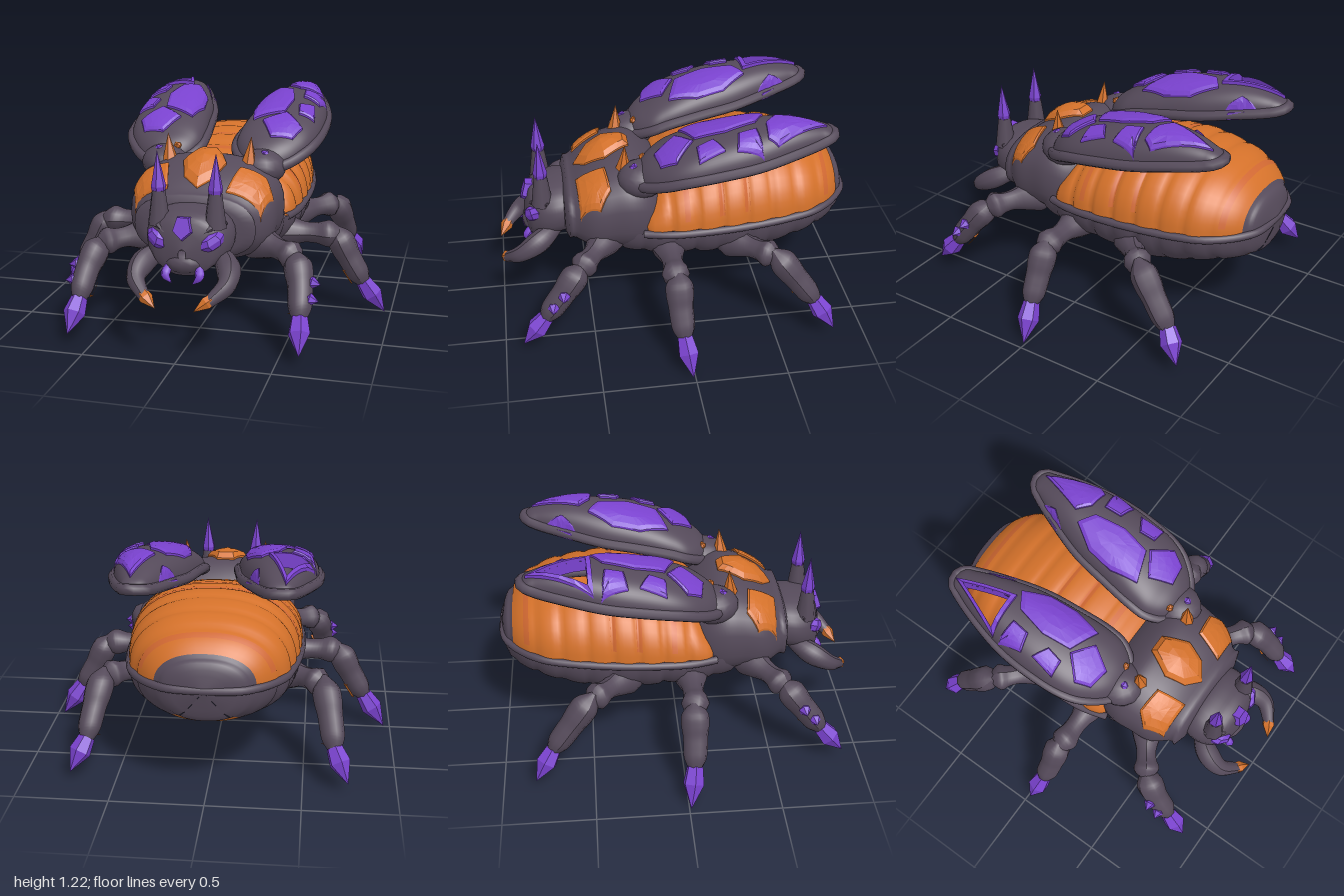
import * as THREE from 'three';
import { mergeVertices } from 'three/addons/utils/BufferGeometryUtils.js';

const mat = (name, color) => Object.assign(new THREE.MeshStandardMaterial({ color }), { name });
const DARK = mat('dark shell', 0x554a5a);
const ORANGE = mat('orange', 0xd4712a);
const RUST = mat('rust band', 0xcf6731);
const PURPLE = mat('purple', 0x7a42cf);
const V = (x, y, z) => new THREE.Vector3(x, y, z);
const UP = V(0, 1, 0);

function add(parent, name, geo, material) {
  const m = new THREE.Mesh(geo, material);
  m.name = name;
  parent.add(m);
  return m;
}

function flat(geo) {
  const g = geo.index ? geo.toNonIndexed() : geo;
  g.computeVertexNormals();
  return g;
}

// Smooth lookup in rows of [z, a, b, ...]
function table(rows) {
  rows = [...rows].sort((a, b) => a[0] - b[0]);
  const n = rows[0].length - 1;
  const f = new THREE.CubicInterpolant(rows.map(r => r[0]), rows.flatMap(r => r.slice(1)), n, new Float32Array(n));
  return z => Array.from(f.evaluate(z));
}

// Grid surface from fn(u, v) -> Vector3; cells can be left out
function surface(fn, nu, nv, skip = () => false) {
  const pos = [], idx = [];
  for (let i = 0; i <= nu; i++) for (let j = 0; j <= nv; j++) pos.push(...fn(i / nu, j / nv).toArray());
  for (let i = 0; i < nu; i++) for (let j = 0; j < nv; j++) {
    if (skip(fn((i + 0.5) / nu, (j + 0.5) / nv))) continue;
    const a = i * (nv + 1) + j, b = a + nv + 1;
    idx.push(a, b, a + 1, b, b + 1, a + 1);
  }
  let g = new THREE.BufferGeometry();
  g.setAttribute('position', new THREE.Float32BufferAttribute(pos, 3));
  g.setIndex(idx);
  g = mergeVertices(g, 1e-4);
  g.computeVertexNormals();
  return g;
}

const pw = (c, e) => Math.sign(c) * Math.abs(c) ** e;

// Body section as rows of [z, half width, top, bottom]
function bodyLoft(at, z0, z1, p, nu, nv) {
  return surface((u, v) => {
    const z = z0 + (z1 - z0) * u, [w, t, b] = at(z), a = v * Math.PI * 2;
    return V(w * pw(Math.cos(a), 2 / p), (t + b) / 2 + (t - b) / 2 * pw(Math.sin(a), 2 / p), z);
  }, nu, nv);
}

// Tapered limb along a path
function limb(points, radii, sides = 10, n = 24) {
  const c = new THREE.CatmullRomCurve3(points);
  c.getPointAt = c.getPoint;
  c.getTangentAt = c.getTangent;
  const rad = table(radii.map((r, i) => [i / (radii.length - 1), r]));
  const g = new THREE.TubeGeometry(c, n, 1, sides), P = g.attributes.position, q = V(0, 0, 0);
  for (let k = 0; k < P.count; k++) {
    const t = Math.floor(k / (sides + 1)) / n, o = c.getPoint(t);
    q.fromBufferAttribute(P, k).sub(o).multiplyScalar(rad(t)[0]).add(o);
    P.setXYZ(k, q.x, q.y, q.z);
  }
  g.computeVertexNormals();
  return g;
}

// Faceted spike or claw between two points
function spike(a, b, r, base = 0.6, belly = 0.35, sides = 6) {
  const len = a.distanceTo(b);
  const g = new THREE.LatheGeometry([[0, 0], [r * base, 0], [r, len * belly], [0, len]].map(p => new THREE.Vector2(...p)), sides);
  g.applyQuaternion(new THREE.Quaternion().setFromUnitVectors(UP, b.clone().sub(a).normalize()));
  g.translate(a.x, a.y, a.z);
  return flat(g);
}

// Raised plate over a height field, outline in [x, z]; rings are [scale, lift]
const raised = [[1, -0.02], [1, 0.012], [0.86, 0.02], [0.45, 0.02], [0, 0.02]];
const hanging = [[0, -0.008], [0.45, -0.008], [1, -0.008], [1, 0.01]];
function plate(outline, height, rings) {
  const o = outline.map(p => new THREE.Vector2(...p));
  if (THREE.ShapeUtils.area(o) < 0) o.reverse();
  const n = o.length, c = o.reduce((s, p) => s.add(p), new THREE.Vector2()).divideScalar(n);
  return flat(surface((u, v) => {
    const [s, h] = rings[Math.round(u * (rings.length - 1))];
    const k = v * n + 1e-6, i = Math.floor(k);
    const p = o[i % n].clone().lerp(o[(i + 1) % n], k - i).sub(c).multiplyScalar(s).add(c);
    return V(p.x, height(p.x, p.y) + h, p.y);
  }, rings.length - 1, n * 4));
}

// Abdomen: [z, half width, top, bottom]
const abd = table([[0.45, 0.3, 0.6, 0.4], [0.3, 0.38, 0.66, 0.345], [0.18, 0.425, 0.74, 0.33], [0.08, 0.455, 0.85, 0.322],
  [-0.05, 0.47, 0.91, 0.325], [-0.2, 0.475, 0.95, 0.31], [-0.42, 0.465, 0.98, 0.305], [-0.6, 0.44, 0.96, 0.345], [-0.75, 0.4, 0.92, 0.39],
  [-0.86, 0.325, 0.865, 0.42], [-0.92, 0.26, 0.81, 0.445], [-0.97, 0.16, 0.745, 0.5], [-0.995, 0, 0.64, 0.639]]);
const rimY = z => 0.58 + (0.2 - z) * 0.05;
function abdomenPart(z0, z1, a0, a1, k = 1, nu = 56) {
  return surface((u, v) => {
    const z = z0 + (z1 - z0) * u, [w, t, b] = abd(z), a = a0 + (a1 - a0) * v;
    const f = (((0.18 - z) / 0.139) % 1 + 1) % 1;
    const r = k * (1 - 0.045 * (1 - Math.sin(Math.PI * f ** 0.7)) ** 2);
    const s = pw(Math.sin(a), 0.87), y = rimY(z);
    return V(w * r * pw(Math.cos(a), 0.87), y + s * r * (s > 0 ? t - y : y - b), z);
  }, nu, 24);
}

// Thorax and its top height
const thx = table([[0.06, 0.3, 0.8, 0.42], [0.14, 0.38, 0.88, 0.4], [0.24, 0.415, 0.935, 0.38], [0.35, 0.41, 0.92, 0.39],
  [0.48, 0.39, 0.86, 0.4], [0.57, 0.32, 0.79, 0.44], [0.62, 0.27, 0.74, 0.47], [0.64, 0.02, 0.6, 0.56]]);
const thxY = (x, z) => {
  const [w, t, b] = thx(z);
  return (t + b) / 2 + (t - b) / 2 * Math.max(0, 1 - Math.abs(x / w) ** 2.5) ** 0.4;
};

// Wing case: [z, inner x, outer x, edge y, top y]
const wingRows = [[0.24, 0.28, 0.3, 0.87, 0.88], [0.2, 0.19, 0.39, 0.87, 0.95], [0.1, 0.11, 0.49, 0.92, 1.03], [0, 0.1, 0.535, 0.96, 1.085],
  [-0.2, 0.12, 0.555, 1, 1.15], [-0.4, 0.15, 0.545, 1.03, 1.185], [-0.6, 0.215, 0.5, 1.065, 1.195], [-0.76, 0.28, 0.445, 1.09, 1.165],
  [-0.82, 0.315, 0.415, 1.105, 1.14], [-0.84, 0.36, 0.37, 1.11, 1.12]];
const wing = table(wingRows);
const dome = k => Math.max(0, 1 - Math.abs(k) ** 2.4) ** (1 / 2.4);
const wingHeight = share => (x, z) => {
  const [xi, xo, e, t] = wing(z);
  return e + (t - e) * share * dome((2 * x - xi - xo) / (xo - xi));
};
const wingTop = wingHeight(1), wingUnder = wingHeight(0.65);
const windowOutline = [[0.39, -0.81], [0.29, -0.47], [0.53, -0.46]];
const hole = new THREE.Triangle(V(0.392, 0, -0.765), V(0.311, 0, -0.49), V(0.506, 0, -0.482));

function wingCase(open) {
  const g = new THREE.Group();
  g.name = 'wingCase';
  const skip = p => open && hole.containsPoint(V(p.x, 0, p.z));
  add(g, 'wingShell', surface((u, v) => {
    const z = 0.24 - 1.08 * u, [xi, xo, e, t] = wing(z), k = Math.cos(v * Math.PI * 2);
    return V((xi + xo) / 2 + k * (xo - xi) / 2, e + (t - e) * dome(k) * (v > 0.5 ? 0.65 : 1), z);
  }, 64, 72, skip), DARK);
  const edge = [...wingRows.map(r => V(r[2], r[3], r[0])), ...wingRows.slice(1, -1).reverse().map(r => V(r[1], r[3], r[0]))];
  add(g, 'wingRim', new THREE.TubeGeometry(new THREE.CatmullRomCurve3(edge, true), 70, 0.03, 8, true), DARK);
  const panels = [
    [[0.25, -0.47], [0.34, -0.41], [0.375, -0.24], [0.35, -0.08], [0.18, -0.02], [0.15, -0.18], [0.17, -0.34]],
    [[0.365, -0.07], [0.24, 0.01], [0.31, 0.13], [0.43, 0.11], [0.47, 0.03]],
    [[0.54, -0.42], [0.41, -0.4], [0.42, -0.3], [0.515, -0.28]],
    [[0.5, -0.22], [0.415, -0.17], [0.43, -0.08], [0.52, -0.08]]];
  if (!open) panels.push([[0.385, -0.79], [0.51, -0.5], [0.48, -0.45], [0.37, -0.46], [0.3, -0.52]]);
  // Panels show on both faces of the shell
  for (const p of panels) {
    add(g, 'wingPanel', plate(p, wingTop, raised), PURPLE);
    add(g, 'wingUnderPanel', plate(p, wingUnder, hanging), PURPLE);
  }
  add(g, 'wingInnerPanel', plate([[0.255, -0.75], [0.25, -0.62], [0.19, -0.54], [0.175, -0.57]], wingTop, raised), PURPLE);
  if (open) add(g, 'wingWindowFrame', plate(windowOutline, wingTop, [[1, -0.02], [1, 0.02], [0.78, 0.02], [0.78, -0.06], [1, -0.06]]), PURPLE);
  return g;
}

// One leg: thigh, thick shin, claw, and an orange patch under the shin at the given turn
function leg(name, thigh, shin, tip, turn) {
  const g = new THREE.Group(), S = shin.map(p => V(...p)), [, middle, ankle] = S;
  g.name = name;
  add(g, 'thigh', limb(thigh.map(p => V(...p)), [0.02, 0.1, 0.085, 0.06, 0.06, 0.075, 0.02]), DARK);
  add(g, 'shin', limb(S, [0.015, 0.07, 0.076, 0.068, 0.066, 0.06, 0.03]), DARK);
  const dir = ankle.clone().sub(middle).normalize();
  add(g, 'claw', spike(ankle.clone().addScaledVector(dir, -0.025), V(...tip), 0.06, 0.75, 0.42), PURPLE);
  const patch = add(g, 'shinPatch', new THREE.CylinderGeometry(0.072, 0.068, 0.085, 6, 1, false, Math.PI * (turn - 0.25), Math.PI * 0.5), ORANGE);
  patch.position.lerpVectors(middle, ankle, 0.52);
  patch.quaternion.setFromUnitVectors(UP, dir.negate());
  return g;
}

// Parts that appear on both sides, built for +x
function sideParts(name, open) {
  const g = new THREE.Group();
  g.name = name;
  g.add(wingCase(open));
  add(g, 'wingShoulder', new THREE.SphereGeometry(1, 16, 12).scale(0.13, 0.1, 0.14).translate(0.28, 0.86, 0.19), DARK);
  g.add(leg('frontLeg', [[0.2, 0.5, 0.34], [0.42, 0.49, 0.48], [0.56, 0.47, 0.58]], [[0.535, 0.5, 0.55], [0.58, 0.36, 0.66], [0.6, 0.2, 0.78]], [0.62, 0.06, 0.9], 1.2));
  g.add(leg('middleLeg', [[0.25, 0.46, 0.06], [0.5, 0.46, 0.06], [0.72, 0.46, 0.06]], [[0.67, 0.5, 0.05], [0.755, 0.33, 0.05], [0.85, 0.17, 0.04]], [0.965, 0, 0.01], 1.5));
  g.add(leg('backLeg', [[0.28, 0.45, -0.24], [0.48, 0.48, -0.39], [0.61, 0.49, -0.51]], [[0.595, 0.53, -0.48], [0.635, 0.36, -0.61], [0.665, 0.2, -0.73]], [0.74, 0.06, -0.82], 1.8));
  [[0.38, 0.66], [0.31, 0.72]].forEach(([y, z]) => add(g, 'legThorn', spike(V(0.62, y, z), V(0.69, y - 0.01, z + 0.01), 0.034), PURPLE));
  // Thorax plates, thorns and beads
  add(g, 'thoraxSidePlate', plate([[0.16, 0.55], [0.2, 0.39], [0.34, 0.37], [0.39, 0.43], [0.345, 0.54]], thxY, raised), ORANGE);
  add(g, 'thoraxThorn', spike(V(0.22, 0.87, 0.29), V(0.235, 1.045, 0.28), 0.045, 1, 0.1), ORANGE);
  add(g, 'thoraxBead', flat(new THREE.IcosahedronGeometry(0.03, 0).translate(0.3, 0.935, 0.235)), PURPLE);
  add(g, 'thoraxBead', flat(new THREE.IcosahedronGeometry(0.024, 0).translate(0.21, 0.95, 0.18)), ORANGE);
  // Horn, eye, fang and mandible
  add(g, 'hornBase', new THREE.CylinderGeometry(0.036, 0.06, 0.18, 8).translate(0.15, 0.75, 0.74), DARK);
  add(g, 'horn', spike(V(0.15, 0.82, 0.74), V(0.155, 1.05, 0.745), 0.04, 0.8, 0.18), PURPLE);
  const eye = add(g, 'eye', flat(new THREE.SphereGeometry(1, 6, 4).scale(0.072, 0.044, 0.034)), PURPLE);
  eye.position.set(0.15, 0.6, 0.8);
  eye.rotation.set(0, 0.6, 0.5);
  add(g, 'brow', limb([V(0.07, 0.615, 0.815), V(0.14, 0.665, 0.78), V(0.2, 0.68, 0.71)], [0.012, 0.022, 0.012], 6, 8), DARK);
  add(g, 'fang', limb([V(0.08, 0.46, 0.81), V(0.09, 0.42, 0.84), V(0.055, 0.38, 0.85)], [0.022, 0.024, 0.001], 6, 8), PURPLE);
  add(g, 'mandible', limb([V(0.14, 0.51, 0.66), V(0.225, 0.46, 0.77), V(0.24, 0.4, 0.87), V(0.165, 0.33, 0.96)], [0.04, 0.064, 0.05, 0.03]), DARK);
  add(g, 'mandibleTip', spike(V(0.18, 0.345, 0.945), V(0.1, 0.29, 0.997), 0.036, 0.9, 0.3), ORANGE);
  return g;
}

export function createModel() {
  const root = new THREE.Group(), PI = Math.PI, side = 1;
  root.name = 'beetle';
  // Abdomen: orange back, dark tail, dark flanks and orange belly
  add(root, 'abdomenBack', abdomenPart(0.18, -0.915, 0, PI), ORANGE);
  add(root, 'abdomenTail', abdomenPart(-0.89, -0.995, 0, PI, 0.98, 12), DARK);
  [-0.02, -0.21, -0.35, -0.82].forEach(z => add(root, 'abdomenBand', abdomenPart(z, z - 0.03, 0.2, PI - 0.2, 1.006, 4), RUST));
  add(root, 'flankRight', abdomenPart(0.45, -0.995, PI, PI + side), DARK);
  add(root, 'flankLeft', abdomenPart(0.45, -0.995, 2 * PI - side, 2 * PI), DARK);
  add(root, 'belly', abdomenPart(0.45, -0.92, PI + side, 2 * PI - side), ORANGE);
  add(root, 'bellyTail', abdomenPart(-0.92, -0.995, PI + side, 2 * PI - side, 1, 8), DARK);
  const rim = [0.2, 0.05, -0.2, -0.4, -0.6, -0.75, -0.86, -0.93, -0.965].map(z => V(abd(z)[0] * 0.99, rimY(z), z));
  const rimPath = [...rim, V(0, rimY(-0.98), -0.98), ...rim.map(p => V(-p.x, p.y, p.z)).reverse()];
  add(root, 'abdomenRim', new THREE.TubeGeometry(new THREE.CatmullRomCurve3(rimPath), 80, 0.022, 8), DARK);
  // Thorax and head
  add(root, 'thorax', bodyLoft(thx, 0.64, 0.06, 2.5, 30, 36), DARK);
  add(root, 'thoraxCrest', plate([[-0.05, 0.24], [0.05, 0.24], [0.12, 0.38], [0.085, 0.49], [0, 0.55], [-0.085, 0.49], [-0.12, 0.38]],
    thxY, [[1, -0.02], [1, 0.01], [0.8, 0.035], [0.4, 0.05], [0, 0.06]]), ORANGE);
  const head = table([[0.52, 0.2, 0.72, 0.47], [0.62, 0.23, 0.75, 0.45], [0.7, 0.23, 0.745, 0.43], [0.78, 0.19, 0.725, 0.42],
    [0.82, 0.135, 0.68, 0.42], [0.845, 0.02, 0.56, 0.5]]);
  add(root, 'head', bodyLoft(head, 0.845, 0.52, 2.3, 20, 28), DARK);
  add(root, 'snout', new THREE.SphereGeometry(1, 12, 8).scale(0.1, 0.06, 0.06).translate(0, 0.48, 0.8), DARK);
  const gem = add(root, 'foreheadGem', flat(new THREE.CylinderGeometry(0.05, 0.058, 0.05, 5).rotateX(PI / 2).scale(1, 1.25, 1)), PURPLE);
  gem.position.set(0, 0.67, 0.82);
  gem.rotation.x = -0.3;
  // Paired parts; the right wing case has an open window
  const right = sideParts('rightSide', true);
  right.scale.x = -1;
  root.add(sideParts('leftSide', false), right);
  return root;
}
